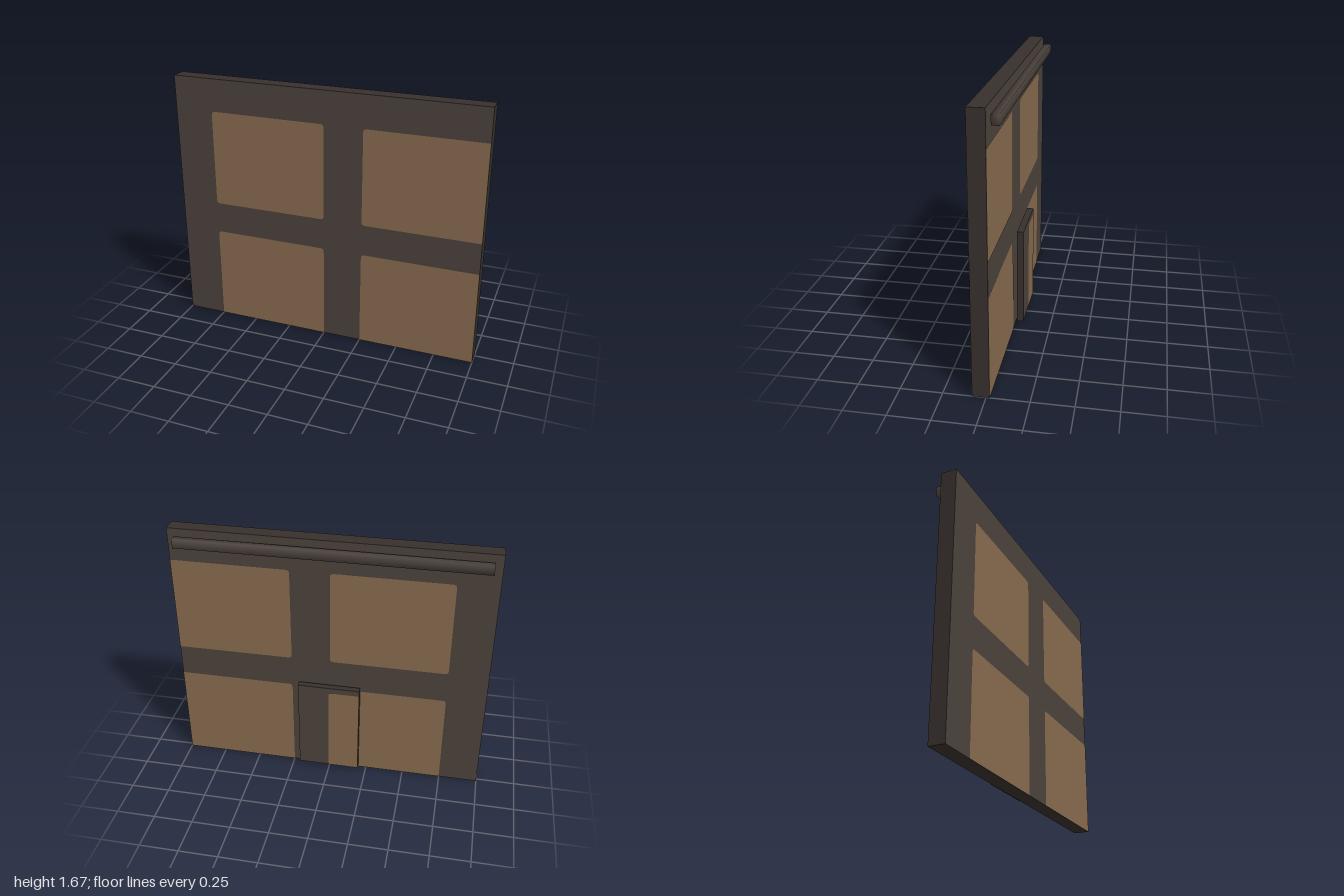
import * as THREE from 'three';
import { mergeVertices } from 'three/addons/utils/BufferGeometryUtils.js';

export function createModel() {
  const group = new THREE.Group();
  const mat = (name, color, side = THREE.FrontSide) => {
    const m = new THREE.MeshStandardMaterial({ color, side });
    m.name = name;
    return m;
  };
  const frame = mat('dark frame', 0x4c423c);
  const rim = mat('dark rim', 0x37302c);
  const tan = mat('tan panel', 0x886b4f, THREE.DoubleSide);

  const add = (name, geo, material) => {
    const m = new THREE.Mesh(geo, material);
    m.name = name;
    group.add(m);
    return m;
  };

  // Box given by its limits; rim colour on the narrow sides, frame colour front and back
  const slab = (name, x0, x1, y0, y1, z0, z1) => {
    const geo = new THREE.BoxGeometry(x1 - x0, y1 - y0, z1 - z0);
    geo.translate((x0 + x1) / 2, (y0 + y1) / 2, (z0 + z1) / 2);
    return add(name, geo, [rim, rim, rim, rim, frame, frame]);
  };

  // Flat painted panel; radii for bottom-left, bottom-right, top-right, top-left
  const paint = (name, x0, x1, y0, y1, z, [bl, br, tr, tl]) => {
    const s = new THREE.Shape();
    s.moveTo(x0 + bl, y0);
    s.lineTo(x1 - br, y0);
    s.quadraticCurveTo(x1, y0, x1, y0 + br);
    s.lineTo(x1, y1 - tr);
    s.quadraticCurveTo(x1, y1, x1 - tr, y1);
    s.lineTo(x0 + tl, y1);
    s.quadraticCurveTo(x0, y1, x0, y1 - tl);
    s.lineTo(x0, y0 + bl);
    s.quadraticCurveTo(x0, y0, x0 + bl, y0);
    add(name, new THREE.ShapeGeometry(s, 4), tan).position.z = z;
  };

  // Door made of two layers
  slab('frontDoorLayer', -1, 1, 0, 1.67, 0.03, 0.08);
  slab('backDoorLayer', -1, 1, 0, 1.67, -0.02, 0.03);

  // Four tan panels on each face, the left pair running off the edge
  const r = 0.022;
  for (const [side, z] of [['front', 0.0815], ['back', -0.0215]]) {
    paint(side + 'UpperRightPanel', -0.75, 0, 0.835, 1.46, z, [r, r, r, r]);
    paint(side + 'UpperLeftPanel', 0.25, 1, 0.835, 1.46, z, [r, 0, 0, r]);
    paint(side + 'LowerRightPanel', -0.75, 0, 0, 0.63, z, [0, 0, r, r]);
    paint(side + 'LowerLeftPanel', 0.25, 1, 0, 0.63, z, [0, 0, 0, r]);
  }

  // Small plate standing behind the door, painted in line with it
  slab('backPlate', -0.2, 0.2, 0.035, 0.667, -0.078, -0.036);
  for (const [side, z] of [['outer', -0.0795], ['inner', -0.0345]]) {
    paint(side + 'PlatePanel', -0.2, 0, 0.035, 0.63, z, [0, 0, r, 0]);
  }

  // Top rail behind the door, softly shaded
  let rail = new THREE.BoxGeometry(1.9, 0.058, 0.045);
  rail.deleteAttribute('normal');
  rail.deleteAttribute('uv');
  rail = mergeVertices(rail);
  rail.computeVertexNormals();
  add('topRail', rail, frame).position.set(0, 1.597, -0.0585);

  return group;
}
